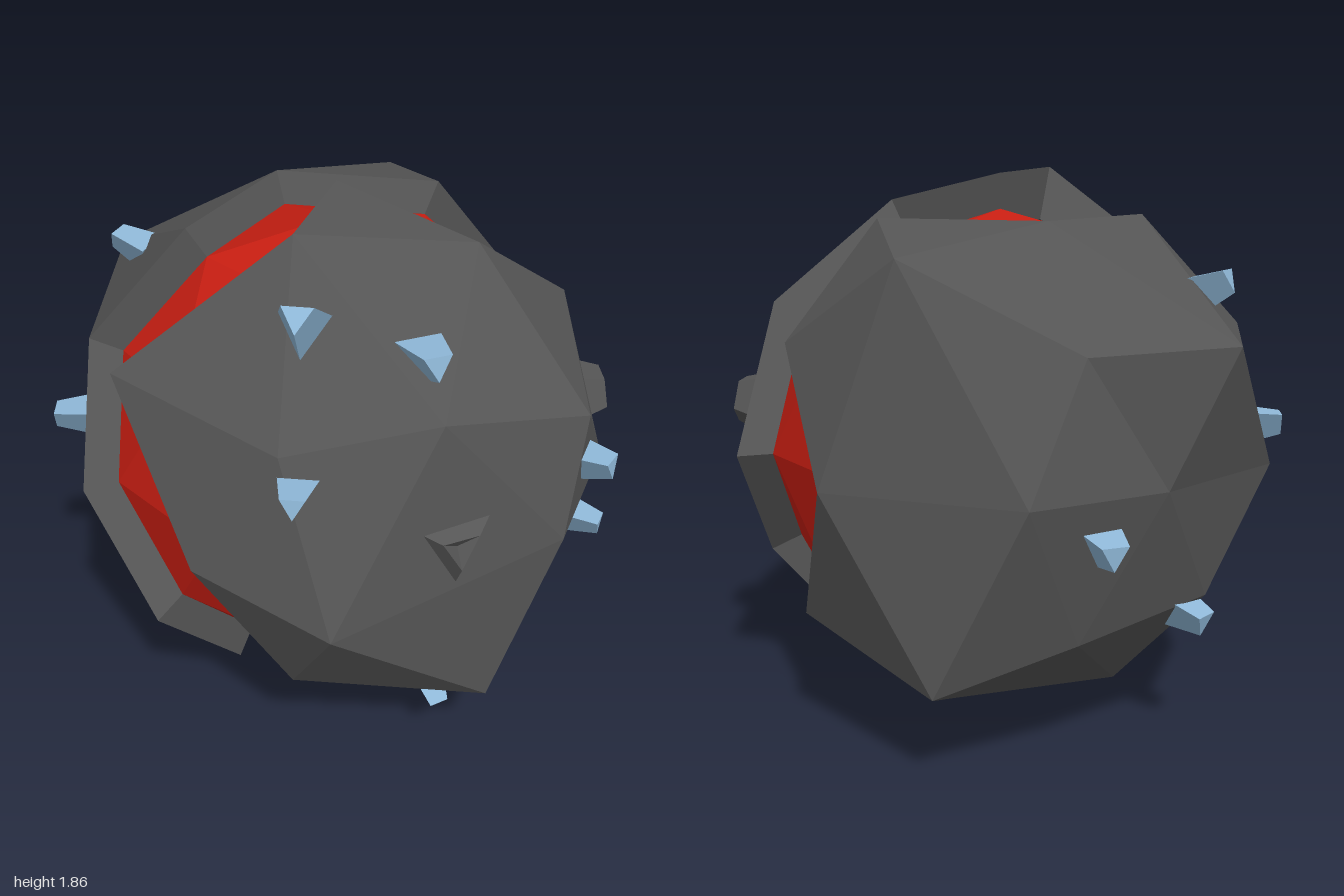
import * as THREE from 'three';

const CENTRE = 0.92;
const mat = (color) => new THREE.MeshStandardMaterial({ color, flatShading: true, roughness: 0.9 });

// Unit ball points on rings: top T, rings A to G, bottom U
function ballPoints() {
  const p = { T: new THREE.Vector3(0, 1, 0), U: new THREE.Vector3(0, -1, 0) };
  const ring = (name, count, y, start) => {
    const r = Math.sqrt(1 - y * y);
    for (let i = 0; i < count; i++) {
      const a = THREE.MathUtils.degToRad(start + (i * 360) / count);
      p[name + i] = new THREE.Vector3(r * Math.cos(a), y, r * Math.sin(a));
    }
  };
  ring('A', 5, 0.8507, 0);
  ring('B', 5, 0.4472, 0);
  ring('C', 5, 0.5257, 36);
  ring('D', 10, 0, 18);
  ring('E', 5, -0.5257, 0);
  ring('F', 5, -0.4472, 36);
  ring('G', 5, -0.8507, 36);
  return p;
}

// The 80 triangles, all wound to face outward
function ballFaces(p) {
  const faces = [];
  for (let k = 0; k < 5; k++) {
    const n = (k + 1) % 5;
    const [A, B, C, F, G] = ['A', 'B', 'C', 'F', 'G'].map((s) => s + k);
    const [A2, B2, E, F2, G2] = ['A', 'B', 'E', 'F', 'G'].map((s) => s + n);
    const D = 'D' + 2 * k, M = 'D' + (2 * k + 1), D2 = 'D' + ((2 * k + 2) % 10);
    faces.push(
      ['T', A, A2], [A, A2, C], [A, B, C], [A2, B2, C],
      [B, C, D], [C, B2, M], [C, M, D], [D, M, F],
      [F, E, M], [E, F2, D2], [M, D2, E], [B2, M, D2],
      [F, E, G], [F2, E, G2], [E, G, G2], ['U', G, G2]);
  }
  return faces.map(([a, b, c]) => {
    const normal = p[b].clone().sub(p[a]).cross(p[c].clone().sub(p[a]));
    return normal.dot(p[a]) > 0 ? [a, b, c] : [a, c, b];
  });
}

function triangles(list) {
  const g = new THREE.BufferGeometry().setFromPoints(list);
  g.computeVertexNormals();
  return g;
}

// Thick shell: outer skin, inner skin and a wall along every open edge
function shellGeometry(p, faces, inSet) {
  const own = faces.filter((f) => f.every(inSet));
  const inner = (k) => p[k].clone().multiplyScalar(0.8);
  const edges = new Set();
  const out = [];
  for (const [a, b, c] of own) {
    out.push(p[a], p[b], p[c], inner(c), inner(b), inner(a));
    edges.add(a + '|' + b).add(b + '|' + c).add(c + '|' + a);
  }
  for (const e of edges) {
    const [a, b] = e.split('|');
    if (edges.has(b + '|' + a)) continue;
    out.push(p[b], p[a], inner(a), p[b], inner(a), inner(b));
  }
  return triangles(out);
}

export function createModel() {
  const model = new THREE.Group();
  const red = mat(0xc81e12), rock = mat(0x555555), blue = mat(0x8fb8d8);
  const add = (name, geometry, material) => {
    const m = new THREE.Mesh(geometry, material);
    m.name = name;
    model.add(m);
    return m;
  };

  const unit = ballPoints();
  const faces = ballFaces(unit);

  // Red core
  const core = faces.flat().map((k) => unit[k].clone().multiplyScalar(0.8));
  add('core', triangles(core), red).position.y = CENTRE;

  // Crust points, some pushed out of round
  const crust = {};
  for (const k in unit) crust[k] = unit[k].clone().multiplyScalar(CENTRE);
  const moved = {
    A1: [0.14, 1.74, 0.48], A2: [-0.4, 1.855, 0.24], C2: [-0.84, 1.43, -0.1],
    B2: [-0.69, 1.34, 0.484], C1: [-0.32, 1.42, 0.78], B1: [0.2, 1.29, 0.91],
    D2: [0.06, 0.92, 0.96], D3: [-0.71, 0.81, 0.72], F1: [-0.15, 0.34, 0.87],
    C4: [0.67, 1.61, -0.41], C3: [-0.15, 1.355, -1], D6: [-0.49, 0.92, -0.82],
    D7: [0.02, 0.92, -0.89], D8: [0.49, 0.92, -0.82], F4: [0.68, 0.32, -0.6],
  };
  for (const k in moved) crust[k].set(...moved[k]).y -= CENTRE;

  // Two crust halves with the zigzag gap between them
  const front = new Set('T U A1 A2 B1 B2 C0 C1 C2 D0 D1 D2 D3 D4 E1 E2 F0 F1 G0 G1'.split(' '));
  add('frontCrust', shellGeometry(crust, faces, (k) => front.has(k)), rock).position.y = CENTRE;
  add('backCrust', shellGeometry(crust, faces, (k) => !front.has(k)), rock).position.y = CENTRE;

  // Sets a part on the surface, pointing outward; flat < 1 levels its axis
  const place = (mesh, [x, y, z], flat = 1) => {
    mesh.position.set(x, y, z);
    mesh.lookAt(2 * x, y + (y - CENTRE) * flat, 2 * z);
  };

  // Craggy bumps on the front crust
  const bump = (profile, sides) => new THREE.LatheGeometry(
    profile.map(([r, h]) => new THREE.Vector2(r, h)), sides).rotateX(Math.PI / 2);
  place(add('frontBump', bump([[0.19, -0.03], [0.07, 0.05], [0, 0.02]], 3), rock), [-0.3, 1.02, 0.82]);
  place(add('sideBump', bump([[0.14, -0.07], [0.085, 0.07], [0, 0]], 5), rock), [0.65, 1.04, 0.57]);

  // Crystals: position, size, levelling of the axis
  const crystal = new THREE.CylinderGeometry(0.6, 1, 1.6, 3).rotateX(Math.PI / 2);
  const crystals = [
    [[0.22, 1.12, 0.93], 0.078, 0.5],
    [[0.34, 0.79, 0.84], 0.07, 0.5],
    [[-0.27, 1.57, 0.66], 0.085, 0.2],
    [[-0.54, 1.69, 0.42], 0.09, 0.8],
    [[-0.73, 1.28, 0.6], 0.07, 0.5],
    [[-0.18, 0.23, 0.66], 0.065, 0.8],
    [[-0.33, 1.5, -0.68], 0.085, 0.5],
    [[-0.69, 1.0, -0.59], 0.085, 0.5],
    [[0.24, 0.78, -0.86], 0.085, 0.5],
    [[-0.19, 0.46, -0.77], 0.085, 0.5],
  ];
  crystals.forEach(([pos, size, flat], i) => {
    const c = add('crystal' + (i + 1), crystal, blue);
    c.scale.setScalar(size);
    place(c, pos, flat);
  });
  return model;
}
